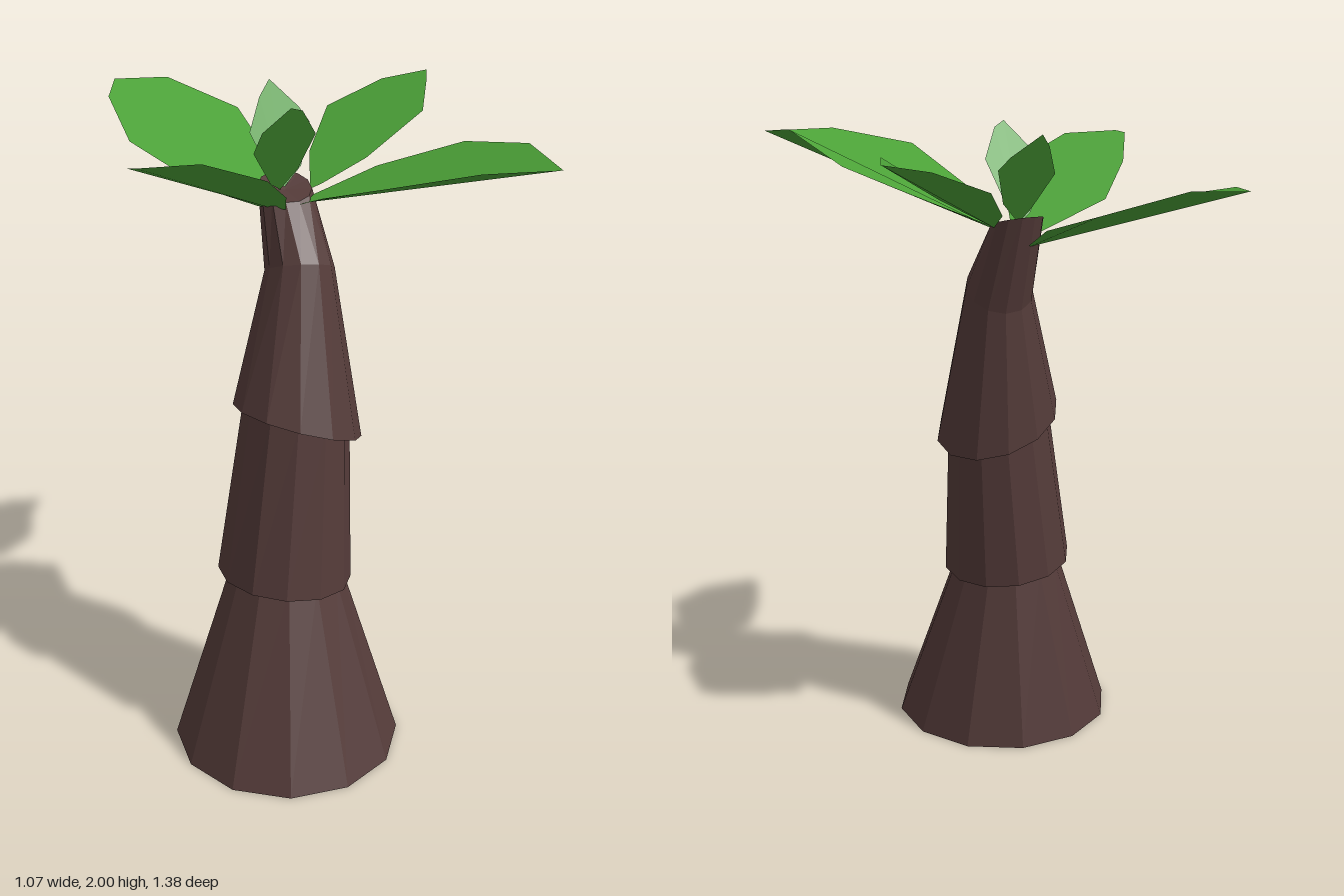
import * as THREE from 'three';

const SIDES = 12;

// One tilted ring: centre, radius, and how much y rises per unit of x and z
function ring([cx, cy, cz, r, sx = 0, sz = 0]) {
  return Array.from({ length: SIDES }, (_, i) => {
    const a = ((i + 0.5) / SIDES) * Math.PI * 2;
    const dx = r * Math.cos(a), dz = -r * Math.sin(a);
    return [cx + dx, cy + sx * dx + sz * dz, cz + dz];
  });
}

// Skin a list of rings, bottom to top
function loft(rings) {
  const pos = [];
  const loops = rings.map(ring);
  for (let k = 0; k < loops.length - 1; k++) {
    for (let i = 0; i < SIDES; i++) {
      const j = (i + 1) % SIDES;
      const a = loops[k][i], b = loops[k][j], c = loops[k + 1][j], d = loops[k + 1][i];
      pos.push(...a, ...b, ...c, ...a, ...c, ...d);
    }
  }
  const geo = new THREE.BufferGeometry();
  geo.setAttribute('position', new THREE.Float32BufferAttribute(pos, 3));
  geo.computeVertexNormals();
  return geo;
}

// One leaf: a slightly cupped polygon, fanned from its base and shaded as a single face
function leafGeometry(outline) {
  const pts = outline.map((p) => new THREE.Vector3(...p));
  const normal = new THREE.Vector3();
  const tris = [];
  for (let i = 1; i < pts.length - 1; i++) {
    const u = pts[i].clone().sub(pts[0]), v = pts[i + 1].clone().sub(pts[0]);
    normal.add(u.cross(v));
    tris.push(pts[0], pts[i], pts[i + 1]);
  }
  normal.normalize();
  const geo = new THREE.BufferGeometry().setFromPoints(tris);
  const normals = tris.flatMap(() => normal.toArray());
  geo.setAttribute('normal', new THREE.Float32BufferAttribute(normals, 3));
  return geo;
}

export function createModel() {
  const bark = new THREE.MeshStandardMaterial({ color: 0x543b39, side: THREE.DoubleSide });
  bark.name = 'bark brown';
  const green = new THREE.MeshStandardMaterial({ color: 0x4ca238, side: THREE.DoubleSide });
  green.name = 'leaf green';

  const model = new THREE.Group();
  model.name = 'palmTree';
  const add = (name, geo, mat) => {
    const mesh = new THREE.Mesh(geo, mat);
    mesh.name = name;
    model.add(mesh);
  };

  // Trunk sections, each overlapping the one below with a lip
  const neck1 = [-0.065, 0.565, 0.195, 0.17, -0.12, 0.06];
  const neck2 = [-0.03, 1.065, 0.175, 0.16, -0.35, 0.18];
  add('trunkBase', loft([[-0.09, 0, 0.27, 0.352], neck1]), bark);
  add('trunkMiddle', loft([neck1, [-0.08, 0.555, 0.215, 0.205, -0.12, 0.06], neck2]), bark);
  add('trunkTop', loft([
    neck2,
    [-0.027, 1.05, 0.175, 0.193, -0.35, 0.18],
    [0.005, 1.5, 0.09, 0.103, -0.1, 0.5],
    [-0.012, 1.725, 0, 0.079, 0, -0.3],
    [-0.012, 1.715, 0, 0],
  ]), bark);

  // Leaf outlines as [x, y, z], starting at the base
  const leaves = {
    frontLeftLeaf: [
      [0.03, 1.69, 0.06], [0, 1.7, 0.1], [0.01, 1.78, 0.29], [0.085, 1.885, 0.56], [0.315, 1.935, 0.66],
      [0.53, 1.935, 0.69], [0.51, 1.96, 0.52], [0.45, 1.885, 0.225], [0.24, 1.79, 0.085], [0.06, 1.71, 0.05],
    ],
    backRightLeaf: [
      [-0.03, 1.655, -0.05], [0, 1.67, -0.1], [0.015, 1.74, -0.24], [-0.015, 1.825, -0.5], [-0.205, 1.9, -0.645],
      [-0.365, 1.895, -0.69], [-0.415, 1.88, -0.545], [-0.41, 1.815, -0.275], [-0.24, 1.715, -0.11],
    ],
    backLeftLeaf: [
      [0.065, 1.71, 0], [0.09, 1.73, 0.025], [0.225, 1.8, 0.035], [0.41, 1.915, 0], [0.47, 1.965, -0.13],
      [0.52, 1.965, -0.255], [0.385, 1.94, -0.285], [0.21, 1.87, -0.285], [0.11, 1.775, -0.15],
    ],
    frontRightLeaf: [
      [-0.06, 1.675, 0.04], [-0.04, 1.69, 0.1], [-0.06, 1.75, 0.17], [-0.15, 1.845, 0.29], [-0.34, 1.92, 0.32],
      [-0.515, 1.92, 0.305], [-0.535, 1.915, 0.28], [-0.45, 1.85, 0.14], [-0.31, 1.765, 0], [-0.1, 1.68, 0.02],
    ],
    frontSmallLeaf: [
      [-0.03, 1.72, 0.01], [-0.06, 1.74, 0.015], [-0.115, 1.84, 0.03], [-0.105, 1.915, 0.085],
      [-0.04, 2, 0.15], [0, 1.985, 0.13], [0.055, 1.9, 0.08], [0.02, 1.78, 0.02],
    ],
    backSmallLeaf: [
      [-0.01, 1.72, -0.01], [0.04, 1.78, -0.01], [0.085, 1.89, -0.07], [0.06, 1.93, -0.1],
      [-0.01, 2, -0.165], [-0.05, 1.96, -0.13], [-0.095, 1.87, -0.08], [-0.05, 1.76, -0.015],
    ],
  };
  for (const [name, outline] of Object.entries(leaves)) add(name, leafGeometry(outline), green);

  return model;
}
